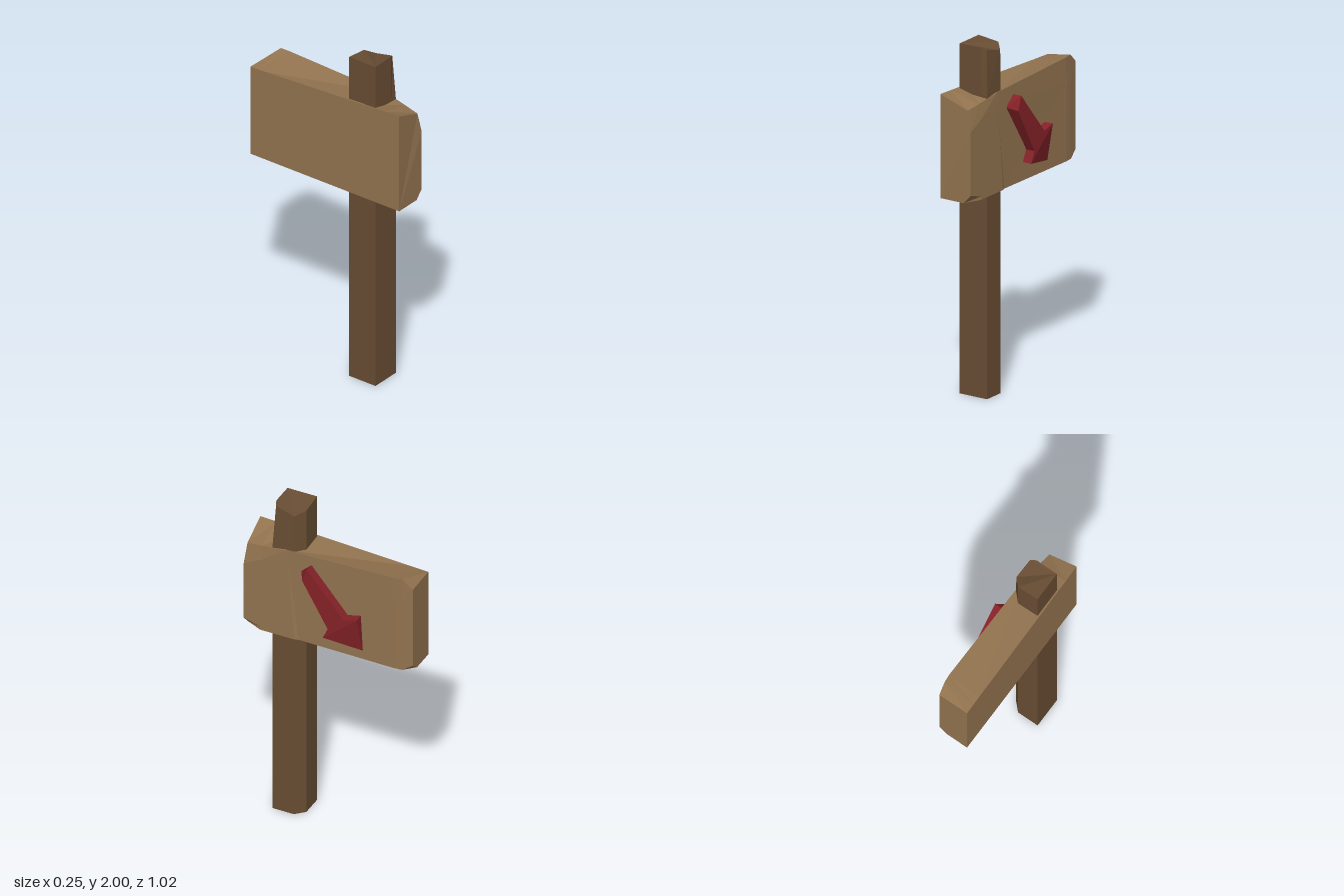
import * as THREE from 'three';

// Flat-shaded solid through a list of rings (equal counts of [x, y, z]), capped at both ends.
// Rings run clockwise when seen looking back from the last ring to the first; flip reverses that.
function loft(rings, color, name) {
  const pos = [];
  const a = new THREE.Vector3(), b = new THREE.Vector3();
  let volume = 0;
  const tri = (p, q, r) => {
    const [P, Q, R] = [p, q, r].map((v) => new THREE.Vector3(...v));
    a.subVectors(Q, P);
    b.subVectors(R, P);
    if (a.cross(b).length() < 1e-7) return; // merged corners
    volume += P.dot(Q.clone().cross(R));
    pos.push([p, q, r]);
  };
  const n = rings[0].length, last = rings[rings.length - 1];
  for (let k = 0; k < rings.length - 1; k++) {
    for (let i = 0; i < n; i++) {
      const j = (i + 1) % n, A = rings[k], B = rings[k + 1];
      tri(A[i], A[j], B[j]);
      tri(A[i], B[j], B[i]);
    }
  }
  for (let i = 1; i < n - 1; i++) {
    tri(rings[0][0], rings[0][i + 1], rings[0][i]);
    tri(last[0], last[i], last[i + 1]);
  }
  // Turn the whole solid outward
  if (volume < 0) pos.forEach((t) => t.reverse());
  const geo = new THREE.BufferGeometry();
  geo.setAttribute('position', new THREE.Float32BufferAttribute(pos.flat(2), 3));
  geo.computeVertexNormals();
  const mesh = new THREE.Mesh(geo, new THREE.MeshStandardMaterial({ color, flatShading: true }));
  mesh.name = name;
  return mesh;
}

export function createModel() {
  const model = new THREE.Group();
  model.name = 'signpost';

  // Post: square timber with one chamfered edge and a nicked top corner
  const section = [[-0.115, 0.34], [0.03, 0.34], [0.065, 0.34], [0.065, 0.21], [0.015, 0.16], [-0.115, 0.16]];
  const level = (y) => section.map(([x, z]) => [x, y, z]);
  const top = [
    [-0.115, 2, 0.34], [0.02, 2, 0.34], [0.053, 1.99, 0.325],
    [0.062, 1.96, 0.21], [0.015, 1.985, 0.16], [-0.115, 2, 0.16],
  ];
  model.add(loft([level(0), level(1.73), top], 0x684d33, 'post'));

  // Board: rings from the +z end to the -z end, with cut corners and a slanted crack
  // ring order: back bottom, bottom edge, front bottom, front upper, front top, back top
  model.add(loft([
    [[-0.125, 1.16, 0.51], [0.03, 1.16, 0.51], [0.075, 1.21, 0.51],
      [0.075, 1.57, 0.51], [0.05, 1.69, 0.5], [-0.125, 1.755, 0.51]],
    [[-0.125, 1.16, 0.41], [0.075, 1.16, 0.41], [0.075, 1.18, 0.41],
      [0.075, 1.62, 0.41], [0.06, 1.705, 0.41], [-0.125, 1.75, 0.41]],
    [[-0.125, 1.16, 0.2], [0.075, 1.16, 0.2], [0.075, 1.16, 0.2],
      [0.075, 1.67, 0.252], [0.073, 1.73, 0.26], [-0.125, 1.743, 0.26]],
    [[-0.125, 1.16, 0.18], [0.067, 1.16, 0.18], [0.067, 1.16, 0.18],
      [0.07, 1.67, 0.248], [0.07, 1.73, 0.257], [-0.125, 1.743, 0.257]],
    [[-0.125, 1.16, -0.4], [0.075, 1.16, -0.4], [0.075, 1.16, -0.4],
      [0.075, 1.6, -0.4], [0.073, 1.753, -0.4], [-0.125, 1.71, -0.4]],
    [[-0.125, 1.16, -0.45], [0.07, 1.16, -0.45], [0.07, 1.16, -0.45],
      [0.07, 1.6, -0.45], [0.068, 1.755, -0.45], [-0.125, 1.708, -0.45]],
    [[-0.125, 1.16, -0.51], [0.01, 1.16, -0.51], [0.06, 1.2, -0.51],
      [0.06, 1.6, -0.51], [0.06, 1.7, -0.51], [-0.125, 1.705, -0.51]],
  ], 0x92734f, 'board'));

  // Arrow: shaft with a slanted tail and a head that slopes down to its tip
  const arrow = new THREE.Group();
  arrow.name = 'arrow';
  const red = 0x852228, back = 0.065, face = 0.125;
  arrow.add(loft([
    [[back, 1.62, 0.165], [back, 1.68, 0.1], [back, 1.42, -0.12], [back, 1.33, -0.025]],
    [[face, 1.6, 0.13], [face, 1.68, 0.1], [face, 1.42, -0.12], [face, 1.33, -0.025]],
  ], red, 'arrowShaft'));
  arrow.add(loft([
    [[back, 1.44, -0.2], [back, 1.22, -0.212], [back, 1.265, 0.005], [back, 1.33, -0.025], [back, 1.42, -0.12]],
    [[face, 1.44, -0.2], [0.08, 1.22, -0.212], [face, 1.265, 0.005], [face, 1.33, -0.025], [face, 1.42, -0.12]],
  ], red, 'arrowHead'));
  model.add(arrow);

  return model;
}
